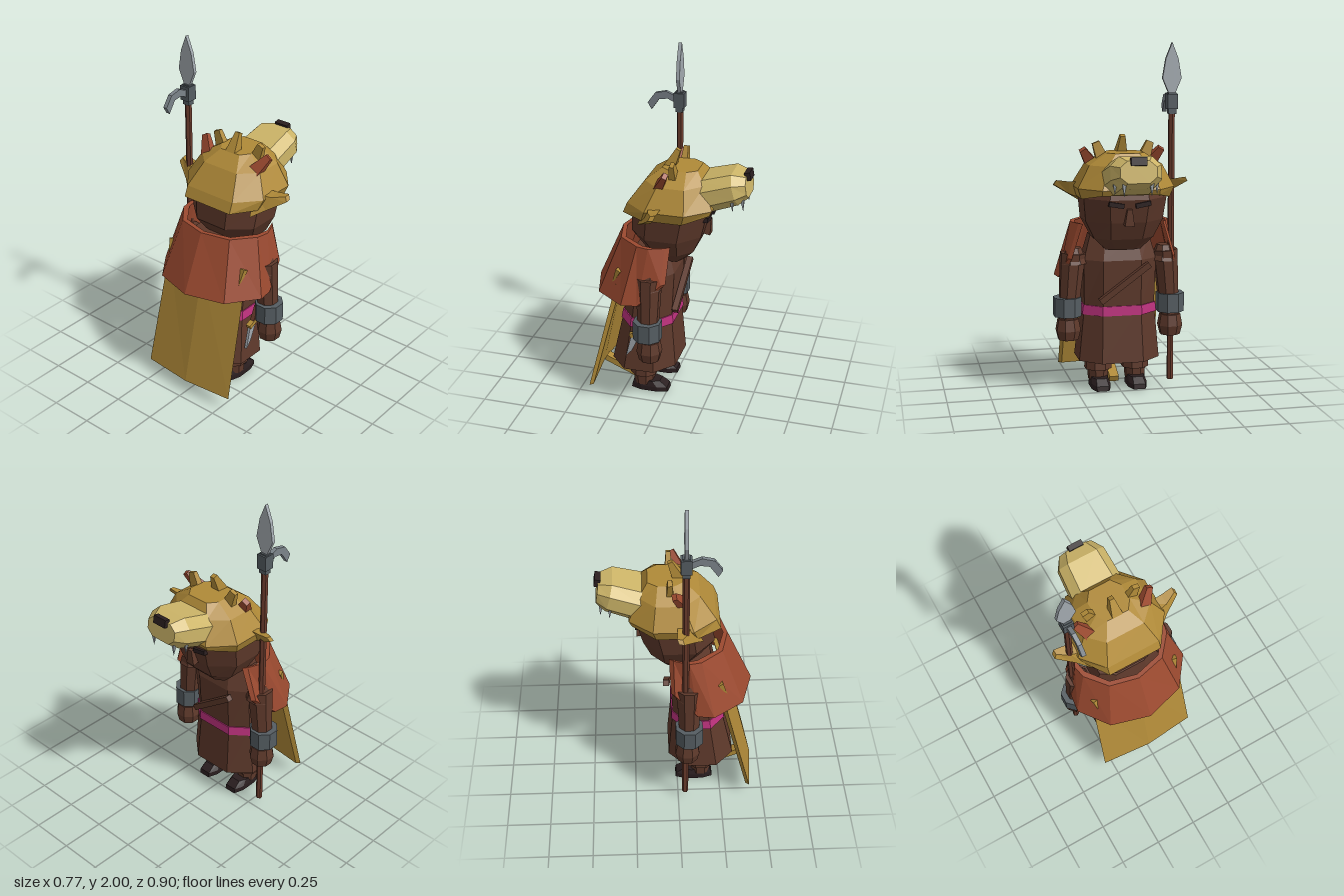
import * as THREE from 'three';

const paint = (name, color) => {
  const m = new THREE.MeshStandardMaterial({ color });
  m.name = name;
  return m;
};

export function createModel() {
  const fur = paint('golden fur', 0xb08a38), muzzle = paint('pale fur', 0xcdb568);
  const red = paint('rust cloth', 0x9c4a30), brown = paint('brown hide', 0x5e392b);
  const wood = paint('spear wood', 0x6a3b2c), iron = paint('dark iron', 0x555d62);
  const steel = paint('steel', 0xa4abb1), pink = paint('pink sash', 0xc0337f);
  const black = paint('near black', 0x2a1e1f), hookGrey = paint('grey iron', 0x7c848a);
  const model = new THREE.Group();

  // Every part gets hard facets
  function add(name, geo, mat, pos = [0, 0, 0]) {
    const g = geo.index ? geo.toNonIndexed() : geo;
    g.computeVertexNormals();
    const mesh = new THREE.Mesh(g, mat);
    mesh.name = name;
    mesh.position.set(...pos);
    model.add(mesh);
    return mesh;
  }

  // Skin closed rings of 3D points and cap both ends
  function loft(rings) {
    const v = [], n = rings[0].length;
    const tri = (a, b, c) => v.push(...a, ...b, ...c);
    for (let r = 0; r < rings.length - 1; r++) {
      for (let i = 0; i < n; i++) {
        const j = (i + 1) % n, p = rings[r], q = rings[r + 1];
        tri(p[i], p[j], q[j]);
        tri(p[i], q[j], q[i]);
      }
    }
    const first = rings[0], last = rings[rings.length - 1];
    for (let i = 1; i < n - 1; i++) {
      tri(first[0], first[i + 1], first[i]);
      tri(last[0], last[i], last[i + 1]);
    }
    return new THREE.BufferGeometry().setAttribute('position', new THREE.Float32BufferAttribute(v, 3));
  }

  const mirror = half => [...half, ...half.slice().reverse().map(([x, y, z]) => [-x, y, z])];

  // Horizontal octagon: inner and outer half width, back, front, and front height
  function octagon(y, inner, outer, back, front, yFront = y) {
    const c = (back + front) / 2, d = (back - front) * 0.23;
    return mirror([[inner, y, back], [outer, y, c + d], [outer, y, c - d], [inner, yFront, front]]);
  }

  // Four-sided taper from a to b
  function spike(name, mat, a, b, w, d, tip = 0) {
    const A = new THREE.Vector3(...a), B = new THREE.Vector3(...b), dir = B.clone().sub(A);
    const g = new THREE.CylinderGeometry(tip * Math.SQRT1_2, Math.SQRT1_2, dir.length(), 4);
    g.rotateY(Math.PI / 4).scale(w, 1, d);
    const m = add(name, g, mat, A.add(B).multiplyScalar(0.5).toArray());
    m.quaternion.setFromUnitVectors(new THREE.Vector3(0, 1, 0), dir.normalize());
    return m;
  }

  function plate(points, depth) {
    const s = new THREE.Shape(points.map(p => new THREE.Vector2(...p)));
    return new THREE.ExtrudeGeometry(s, { depth, bevelEnabled: false }).translate(0, 0, -depth / 2);
  }

  // Tunic and sash
  add('tunic', loft([
    octagon(0.185, 0.12, 0.235, 0.33, -0.05), octagon(0.5, 0.11, 0.205, 0.26, -0.025),
    octagon(0.78, 0.11, 0.21, 0.22, -0.04), octagon(0.92, 0.09, 0.17, 0.19, 0.0),
  ]), brown);
  add('sash', loft([
    octagon(0.46, 0.115, 0.217, 0.275, -0.034), octagon(0.515, 0.112, 0.211, 0.265, -0.032),
  ]), pink);
  spike('chestStick', brown, [0.13, 0.55, -0.05], [-0.15, 0.76, -0.065], 0.034, 0.034, 1);

  // Head and face
  add('head', loft([
    octagon(0.85, 0.05, 0.10, 0.03, -0.08), octagon(0.92, 0.09, 0.17, 0.13, -0.145),
    octagon(1.02, 0.10, 0.22, 0.21, -0.19), octagon(1.15, 0.11, 0.235, 0.2, -0.222),
    octagon(1.24, 0.10, 0.21, 0.18, -0.2),
  ]), brown);
  spike('nose', brown, [0, 1.01, -0.195], [0, 1.1, -0.212], 0.055, 0.06, 0.5);
  for (const s of [1, -1]) {
    const brow = add('brow', new THREE.BoxGeometry(0.085, 0.026, 0.025), black, [s * 0.075, 1.125, -0.22]);
    brow.rotation.z = s * 0.18;
  }

  // Animal hood
  add('hood', loft([
    octagon(1.15, 0.16, 0.25, 0.24, -0.25, 1.18), octagon(1.21, 0.16, 0.272, 0.215, -0.265),
    octagon(1.335, 0.115, 0.205, 0.125, -0.21), octagon(1.4, 0.065, 0.105, 0.04, -0.16),
  ]), fur);
  const muzzleRing = (inner, outer, yTop, yBot, zTop, zBot) => {
    const at = (x, t) => [x, yTop + (yBot - yTop) * t, zTop + (zBot - zTop) * t];
    return mirror([at(inner, 0), at(outer, 0.28), at(outer, 0.72), at(inner, 1)]);
  };
  add('muzzle', loft([
    muzzleRing(0.1, 0.15, 1.355, 1.18, -0.17, -0.24),
    muzzleRing(0.09, 0.14, 1.405, 1.235, -0.35, -0.395),
    muzzleRing(0.06, 0.1, 1.388, 1.27, -0.427, -0.445),
  ]), muzzle);
  add('muzzleNose', new THREE.BoxGeometry(0.086, 0.045, 0.032), black, [0, 1.385, -0.432]).rotation.x = 0.2;

  // Crest spikes, ears and fangs
  spike('crestSpike', fur, [0, 1.37, 0.02], [0, 1.49, -0.035], 0.07, 0.07, 0.4);
  for (const s of [1, -1]) {
    spike('sideSpike', fur, [s * 0.11, 1.34, -0.04], [s * 0.155, 1.455, -0.04], 0.075, 0.045, 0.55);
    spike('redSpike', red, [s * 0.14, 1.29, 0.05], [s * 0.225, 1.415, -0.02], 0.085, 0.06, 0.45);
    add('ear', loft([
      [[0.2, 1.23, 0.0], [0.2, 1.23, 0.08], [0.22, 1.11, 0.14], [0.22, 1.13, 0.06]],
      [[0.3, 1.235, -0.005], [0.3, 1.225, 0.055], [0.29, 1.155, 0.085], [0.29, 1.16, 0.04]],
      [[0.37, 1.245, -0.01], [0.37, 1.24, 0.02], [0.385, 1.215, 0.03], [0.385, 1.22, 0.0]],
    ].map(r => s > 0 ? r : r.map(([x, y, z]) => [-x, y, z]).reverse())), fur);
    spike('fang', steel, [s * 0.075, 1.265, -0.415], [s * 0.075, 1.195, -0.42], 0.022, 0.022);
    spike('smallFang', steel, [s * 0.115, 1.26, -0.365], [s * 0.115, 1.2, -0.37], 0.018, 0.018);
  }

  // Mantle and cape: thin walls swept from one side to the other
  function wall(half) {
    const section = ([xt, yt, zt, xb, yb, zb], s) => [
      [s * xt, yt, zt], [s * xb, yb, zb], [s * xb * 0.94, yb, zb - 0.02], [s * xt * 0.92, yt, zt - 0.025]];
    return loft([...half.slice(1).reverse().map(p => section(p, -1)), ...half.map(p => section(p, 1))]);
  }
  add('mantle', wall([
    [0, 1, 0.29, 0, 0.67, 0.435], [0.17, 1, 0.25, 0.23, 0.67, 0.37],
    [0.27, 1, 0.13, 0.357, 0.67, 0.2], [0.285, 1, 0.06, 0.345, 0.67, 0.11],
    [0.25, 1, -0.025, 0.31, 0.8, -0.02],
  ]), red);
  add('cape', wall([
    [0, 0.76, 0.285, 0, 0.08, 0.447], [0.28, 0.76, 0.25, 0.3, 0.08, 0.42],
  ]), fur);
  spike('capeTail', fur, [0, 0.11, 0.41], [0, 0.02, 0.2], 0.055, 0.035, 1);
  for (const s of [1, -1]) {
    spike('mantleClaw', fur, [s * 0.26, 0.84, 0.235], [s * 0.255, 0.735, 0.285], 0.035, 0.03);
  }

  // Arms, legs and shoes
  for (const s of [1, -1]) {
    const tube = (name, mat, x, z, y0, y1, r0, r1) => add(name,
      new THREE.CylinderGeometry(r1, r0, y1 - y0, 8).rotateY(Math.PI / 8), mat, [s * x, (y0 + y1) / 2, z]);
    const arm = tube('arm', brown, 0.285, 0.06, 0.42, 0.82, 0.055, 0.075);
    arm.rotation.z = s * 0.08;
    tube('shoulder', brown, 0.265, 0.06, 0.76, 0.85, 0.08, 0.045);
    tube('bracer', iron, 0.302, 0.062, 0.455, 0.565, 0.083, 0.083);
    tube('fist', brown, 0.3, 0.052, 0.375, 0.44, 0.074, 0.062);
    tube('fingers', brown, 0.3, 0.052, 0.32, 0.375, 0.06, 0.074);
    tube('leg', brown, 0.11, 0.14, 0.05, 0.4, 0.06, 0.075);
    tube('legWrap', brown, 0.11, 0.14, 0.115, 0.17, 0.082, 0.078);
    add('shoe', loft([
      octagon(0.012, 0.035, 0.055, 0.21, -0.01), octagon(0.04, 0.035, 0.055, 0.205, -0.005),
      octagon(0.072, 0.03, 0.046, 0.195, 0.04),
    ]), black, [s * 0.108, 0, 0]);
  }

  // Dagger at the hip
  const dagger = new THREE.Group();
  const blade = add('daggerBlade', plate([[0.115, 0.45], [0.175, 0.42], [0.205, 0.29], [0.17, 0.33]], 0.016)
    .rotateY(-Math.PI / 2), steel, [0.25, 0, 0]);
  const guard = spike('daggerGuard', fur, [0.25, 0.46, 0.1], [0.25, 0.425, 0.18], 0.03, 0.025, 1);
  const grip = spike('daggerGrip', wood, [0.25, 0.44, 0.14], [0.25, 0.53, 0.1], 0.026, 0.026, 1);
  dagger.name = 'dagger';
  dagger.add(blade, guard, grip);
  model.add(dagger);

  // Spear with leaf head and side hook
  const sx = -0.3, sz = 0.04;
  add('spearShaft', new THREE.CylinderGeometry(0.019, 0.019, 1.6, 6), wood, [sx, 0.85, sz]);
  add('spearCollar', new THREE.BoxGeometry(0.06, 0.085, 0.06), iron, [sx, 1.67, sz]);
  add('spearSocket', new THREE.BoxGeometry(0.045, 0.12, 0.04), iron, [sx, 1.66, sz]);
  add('spearHead', plate([
    [-0.012, 1.7], [0.012, 1.7], [0.055, 1.8], [0.036, 1.91], [0, 2], [-0.036, 1.91], [-0.055, 1.8],
  ], 0.02), steel, [sx, 0, sz]);
  add('spearHook', plate([
    [0.06, 1.65], [0.11, 1.672], [0.16, 1.665], [0.205, 1.6], [0.228, 1.64], [0.185, 1.7], [0.12, 1.715], [0.06, 1.69],
  ], 0.024).rotateY(-Math.PI / 2), hookGrey, [sx, 0, 0]);

  return model;
}
